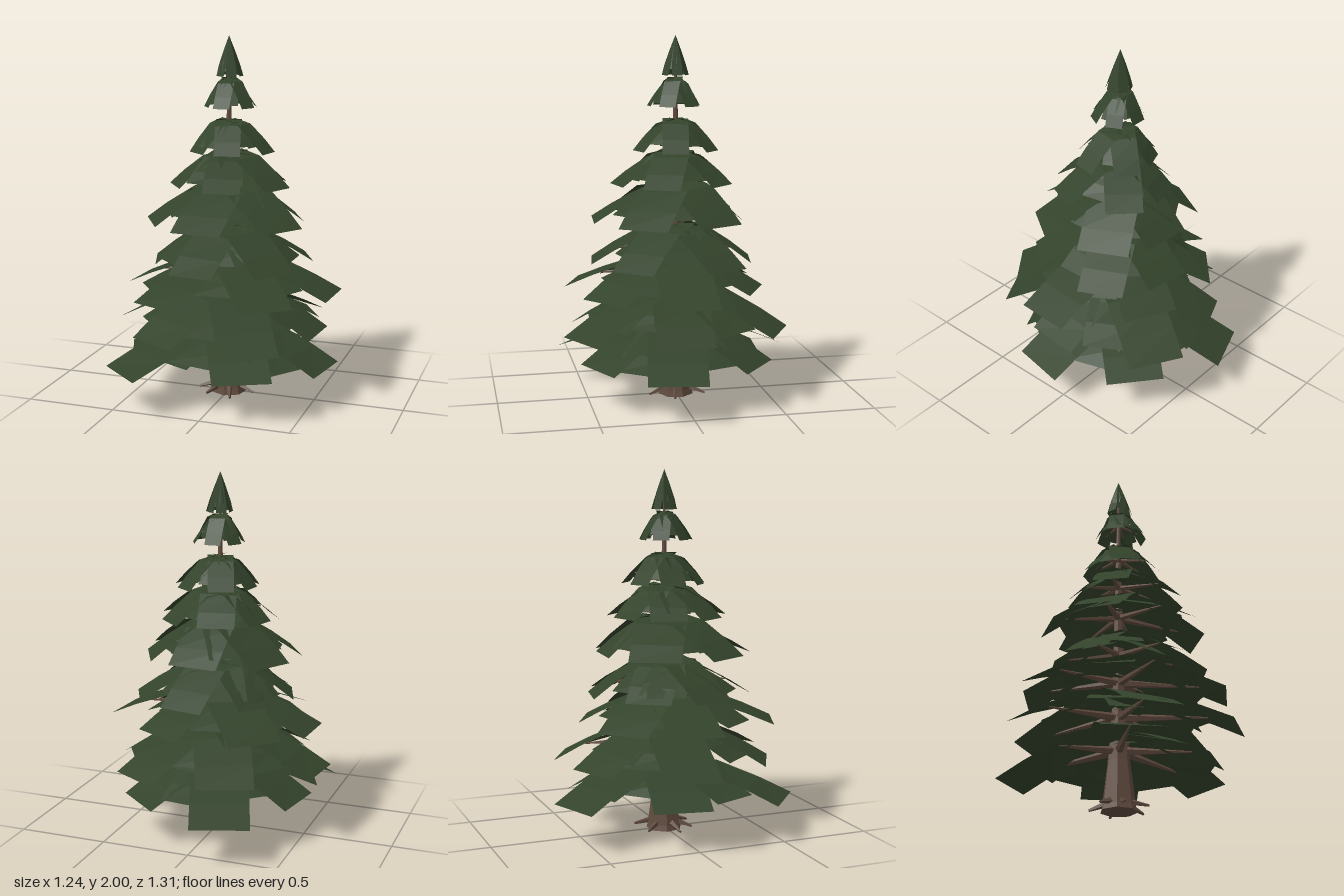
import * as THREE from 'three';
import { mergeGeometries } from 'three/addons/utils/BufferGeometryUtils.js';

const rad = THREE.MathUtils.degToRad;

let seed = 11;
const rand = (lo, hi) => {
  seed = (seed * 16807) % 2147483647;
  return lo + (hi - lo) * (seed / 2147483647);
};

// Tier: top and bottom height, reach, frond width, then [angle, reach] of each long frond,
// or a start angle for an even ring with the direction in which it leans out furthest
const TIERS = [
  { top: 0.42, bottom: 0.22, reach: 0.6, width: 0.32,
    fronds: [[-110, 0.65], [130, 0.69], [10, 0.6], [-50, 0.52], [64, 0.53], [190, 0.5]] },
  { top: 0.615, bottom: 0.4, reach: 0.6, width: 0.31,
    fronds: [[-60, 0.6], [187, 0.61], [62, 0.65], [-113, 0.54], [118, 0.57], [5, 0.53]] },
  { top: 0.8, bottom: 0.62, reach: 0.54, width: 0.3,
    fronds: [[3, 0.61], [112, 0.6], [-132, 0.5], [183, 0.55], [52, 0.58], [-62, 0.46]] },
  { top: 0.975, bottom: 0.77, reach: 0.43, width: 0.25, start: 37, lean: 40 },
  { top: 1.2, bottom: 1.0, reach: 0.42, width: 0.28, start: 33, lean: 90 },
  { top: 1.375, bottom: 1.2, reach: 0.31, width: 0.2, start: 20, lean: 40 },
  { top: 1.55, bottom: 1.38, reach: 0.215, width: 0.14, start: 10, lean: 30 },
  { top: 1.775, bottom: 1.62, reach: 0.135, width: 0.09, start: 30, lean: 40 },
  { top: 2.0, bottom: 1.785, reach: 0.065, width: 0.055, start: 0, lean: 40, pointed: true },
];

// Drooping strip: nearly level at the trunk, bent down twice towards its square tip
const ROWS = [[0, 0], [0.38, 0.14], [0.74, 0.6], [1, 1]];
const POINTED_ROWS = [[0, 0], [0.4, 0.38], [0.75, 0.74], [1, 1]];

function frondGeometry(angle, reach, width, top, bottom, roll, pointed) {
  const geo = new THREE.PlaneGeometry(1, 1, 1, 3);
  const pos = geo.attributes.position;
  const rows = pointed ? POINTED_ROWS : ROWS;
  for (let i = 0; i < pos.count; i++) {
    const [out, drop] = rows[Math.floor(i / 2)];
    const w = pointed ? width * Math.min(1, out * 1.4) : width;
    const x = pos.getX(i) * w;
    pos.setXYZ(i, x, top + (bottom - top) * drop + x * roll * (1 - out), out * reach);
  }
  geo.rotateY(Math.PI / 2 - rad(angle));
  return geo;
}

// Tapered stick between two points
function stickGeometry(from, to, r0, r1, sides) {
  const dir = to.clone().sub(from);
  const geo = new THREE.CylinderGeometry(r1, r0, dir.length(), sides);
  geo.translate(0, dir.length() / 2, 0);
  geo.applyQuaternion(new THREE.Quaternion().setFromUnitVectors(new THREE.Vector3(0, 1, 0), dir.normalize()));
  return geo.translate(from.x, from.y, from.z);
}

const polar = (angle, r, y) => new THREE.Vector3(Math.cos(rad(angle)) * r, y, Math.sin(rad(angle)) * r);

export function createModel() {
  const needles = new THREE.MeshStandardMaterial({ color: 0x33432b, flatShading: true, side: THREE.DoubleSide });
  needles.name = 'needleGreen';
  const bark = new THREE.MeshStandardMaterial({ color: 0x604b3f, flatShading: true });
  bark.name = 'barkBrown';

  const tree = new THREE.Group();
  tree.name = 'pineTree';
  const add = (name, geo, mat) => {
    const mesh = new THREE.Mesh(geo, mat);
    mesh.name = name;
    tree.add(mesh);
  };

  // Seven-sided trunk: flared foot tapering to a thin leader
  const profile = [[0, 0], [0.1, 0], [0.092, 0.03], [0.062, 0.27], [0.036, 0.65], [0.026, 1.1], [0.014, 1.55], [0.005, 1.9], [0, 1.9]];
  add('trunk', new THREE.LatheGeometry(profile.map(([r, y]) => new THREE.Vector2(r, y)), 7), bark);

  // Roots spreading from the foot
  const roots = [];
  for (const [i, a] of [12, 70, 125, 170, 235, 300].entries()) {
    roots.push(stickGeometry(polar(a, 0.05, 0.05), polar(a, i % 2 ? 0.17 : 0.158, 0.014), 0.02, 0.007, 4));
  }
  add('roots', mergeGeometries(roots), bark);

  const branches = [];
  TIERS.forEach((tier, n) => {
    const { top, bottom, reach, width, start, lean, pointed } = tier;
    const height = top - bottom;
    const long = tier.fronds ?? Array.from({ length: 6 }, (_, i) => {
      const a = start + i * 60 + rand(-5, 5);
      return [a, reach * (1 + 0.12 * Math.cos(rad(a - lean)) + rand(-0.04, 0.04))];
    });

    const parts = [];
    long.forEach(([a, r], i) => {
      // Long outer frond
      const lift = pointed ? 0 : rand(0, 0.02) * (i % 2);
      parts.push(frondGeometry(a, r, width, top - lift, bottom, rand(-0.12, 0.12), pointed));
      // Shorter fronds filling the gap beside it and lying beneath it
      parts.push(frondGeometry(a + rand(20, 40), r * rand(0.68, 0.85), width * 0.85,
        top - height * 0.08, bottom + height * rand(0.08, 0.25), rand(-0.3, 0.3), pointed));
      if (!pointed) {
        parts.push(frondGeometry(a + rand(-18, 18), r * rand(0.6, 0.8), width * 0.7,
          top - height * rand(0.1, 0.25), bottom + height * rand(0.1, 0.25), rand(-0.5, 0.5), pointed));

        // Branch carrying the long frond
        branches.push(stickGeometry(polar(a, 0, top - height * 0.45), polar(a, r * 0.75, top - height * 0.68),
          0.006 + reach * 0.034, 0.004, 5));
      }
    });
    add(`needleTier${n + 1}`, mergeGeometries(parts), needles);
  });
  add('branches', mergeGeometries(branches), bark);

  return tree;
}
